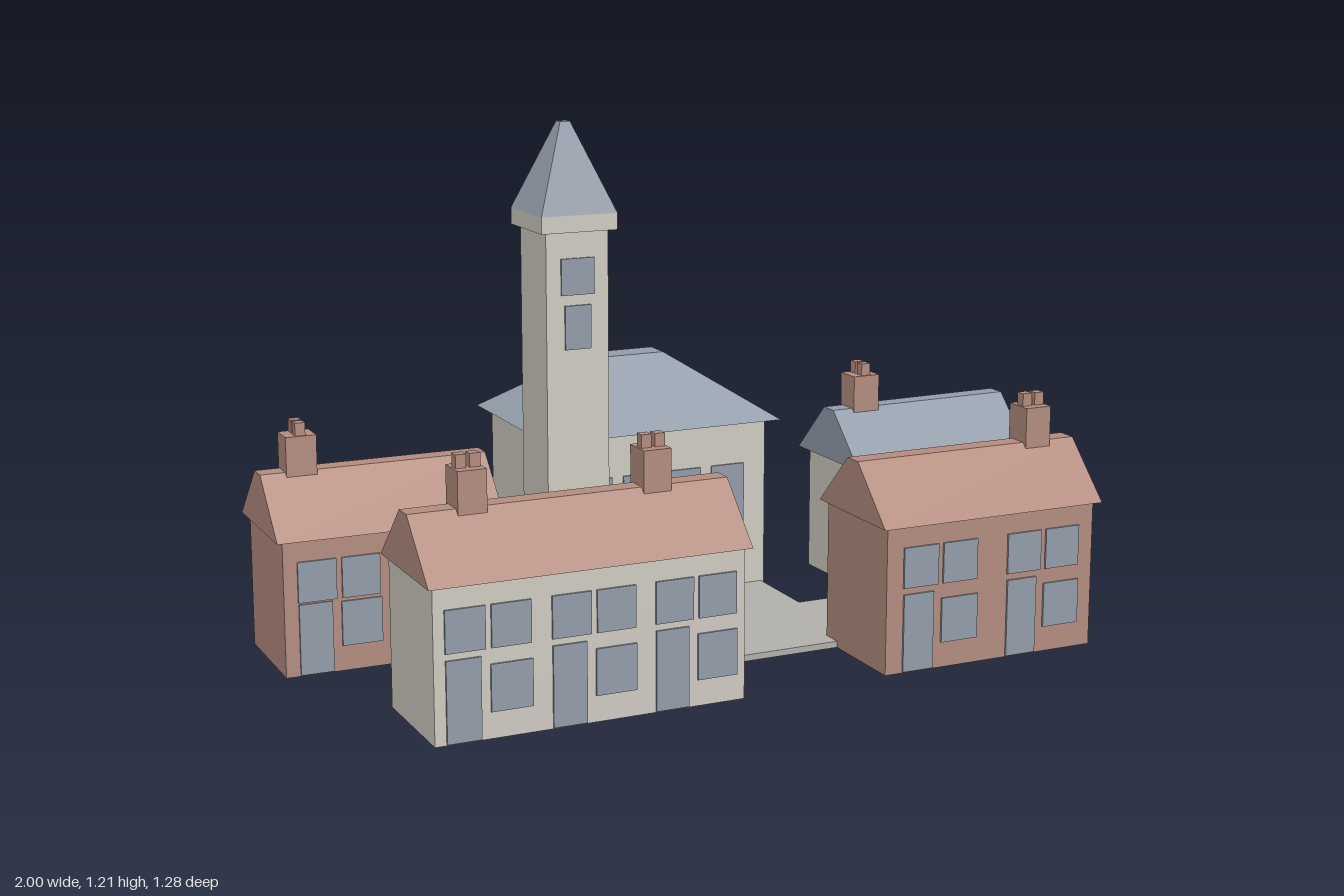
import * as THREE from 'three';

const flat = (name, color) => {
  const m = new THREE.MeshStandardMaterial({ color });
  m.name = name;
  return m;
};

export function createModel() {
  const cream = flat('cream plaster', 0xd1cdc4);
  const brick = flat('red brick', 0xb58e81);
  const slate = flat('blue slate', 0x949eab);
  const stone = flat('grey stone', 0xb2b1ae);

  const village = new THREE.Group();
  village.name = 'village';

  const group = (name, parent = village) => {
    const g = new THREE.Group();
    g.name = name;
    parent.add(g);
    return g;
  };

  // Box standing on y, tapering to a top of size tw x td
  const block = (parent, name, mat, w, h, d, x, y, z, tw = w, td = d) => {
    const geo = new THREE.BoxGeometry(w, h, d);
    const p = geo.attributes.position;
    for (let i = 0; i < p.count; i++) {
      if (p.getY(i) > 0) p.setXYZ(i, p.getX(i) * tw / w, h / 2, p.getZ(i) * td / d);
    }
    geo.computeVertexNormals();
    const mesh = new THREE.Mesh(geo, mat);
    mesh.name = name;
    mesh.position.set(x, y + h / 2, z);
    parent.add(mesh);
    return mesh;
  };

  // Thin plate on a wall facing front or back
  const plate = (parent, name, w, y0, y1, x, z) =>
    block(parent, name, slate, w, y1 - y0, 0.008, x, y0, z);

  // Terraced house: walls, gabled roof, a door and three windows per bay, chimneys
  const house = ({ name, x, z, turn = 0, wall, roof, length, overhang, eave, bays, chimneys, potsAlongZ }) => {
    const g = group(name);
    g.position.set(x, 0, z);
    g.rotation.y = turn;
    block(g, 'walls', wall, length, eave, 0.275, 0, 0, 0);
    const roofLength = length + overhang * 2;
    block(g, 'gableRoof', roof, roofLength, 0.13, 0.305, 0, eave, 0, roofLength, 0.047);
    const front = 0.1385;
    for (let i = 0; i < bays; i++) {
      const c = length * ((i + 0.5) / bays - 0.5);
      plate(g, 'door', 0.078, 0.003, 0.185 - (0.345 - eave) * 0.6, c - 0.055, front);
      plate(g, 'upperWindow', 0.09, eave - 0.145, eave - 0.05, c - 0.05, front);
      plate(g, 'upperWindow', 0.09, eave - 0.145, eave - 0.05, c + 0.053, front);
      plate(g, 'lowerWindow', 0.095, 0.06, 0.165, c + 0.053, front);
    }
    for (const cx of chimneys) {
      const c = group('chimney', g);
      c.position.set(cx, eave + 0.1, 0);
      if (potsAlongZ) c.rotation.y = Math.PI / 2;
      block(c, 'stack', brick, 0.066, 0.113, 0.072, 0, 0, 0);
      for (const s of [-1, 1]) block(c, 'pot', brick, 0.024, 0.03, 0.024, s * 0.016, 0.113, 0);
    }
  };

  house({ name: 'frontRightHouse', x: -0.4725, z: 0.4875, wall: cream, roof: brick, length: 0.72,
    overhang: 0.0125, eave: 0.345, bays: 3, chimneys: [-0.23, 0.198] });
  house({ name: 'frontLeftHouse', x: 0.52, z: 0.4875, wall: brick, roof: brick, length: 0.55,
    overhang: 0.015, eave: 0.345, bays: 2, chimneys: [0.185] });
  house({ name: 'backRightHouse', x: -0.73, z: -0.067, turn: -0.012, wall: brick, roof: brick, length: 0.51,
    overhang: 0.015, eave: 0.318, bays: 2, chimneys: [-0.175], potsAlongZ: true });
  house({ name: 'backLeftHouse', x: 0.745, z: -0.107, turn: 0.02, wall: cream, roof: slate, length: 0.455,
    overhang: 0.025, eave: 0.318, bays: 2, chimneys: [-0.162], potsAlongZ: true });

  // Hall with hipped roof, tall windows and a doorstep
  const hall = group('hall');
  hall.position.set(0.032, 0, -0.325);
  block(hall, 'walls', cream, 0.57, 0.437, 0.42, 0, 0, 0);
  block(hall, 'hipRoof', slate, 0.63, 0.156, 0.48, 0, 0.437, 0, 0.17, 0.07);
  for (let i = 0; i < 4; i++) plate(hall, 'tallWindow', 0.09, 0.115, 0.33, (i - 1.5) * 0.12, 0.211);
  block(hall, 'doorstep', cream, 0.145, 0.06, 0.03, 0, 0, 0.222);

  // Clock-less tower with cornice and spire, windows front and back
  const tower = group('tower');
  tower.position.set(-0.234, 0, -0.09);
  block(tower, 'shaft', cream, 0.158, 0.96, 0.158, 0, 0, 0);
  block(tower, 'cornice', cream, 0.192, 0.04, 0.192, 0, 0.96, 0);
  block(tower, 'spire', slate, 0.192, 0.21, 0.192, 0, 1.0, 0, 0.025, 0.025);
  for (const s of [-1, 1]) {
    plate(tower, 'upperTowerWindow', 0.084, 0.81, 0.897, 0, s * 0.08);
    plate(tower, 'lowerTowerWindow', 0.066, 0.68, 0.785, 0, s * 0.08);
  }

  // Paved square in two parts
  const square = group('square');
  block(square, 'mainPaving', stone, 1.21, 0.015, 0.31, 0.105, 0, 0.245);
  block(square, 'hallPaving', stone, 0.55, 0.015, 0.205, 0.035, 0, -0.0125);

  // Lamp posts
  for (const x of [-0.38, 0.39]) {
    const lamp = group('lampPost');
    lamp.position.set(x, 0, 0.297);
    block(lamp, 'post', slate, 0.036, 0.225, 0.036, 0, 0, 0);
    block(lamp, 'lantern', slate, 0.062, 0.05, 0.062, 0, 0.225, 0);
    block(lamp, 'cap', slate, 0.073, 0.012, 0.073, 0, 0.275, 0);
  }

  // Loose rocks
  for (const [x, z, turn] of [[-0.335, -0.6, 0.68], [0.837, 0.523, 1.0]]) {
    const rock = block(village, 'rock', stone, 0.082, 0.04, 0.045, x, 0, z, 0.034, 0.008);
    rock.rotation.y = turn;
  }

  return village;
}
